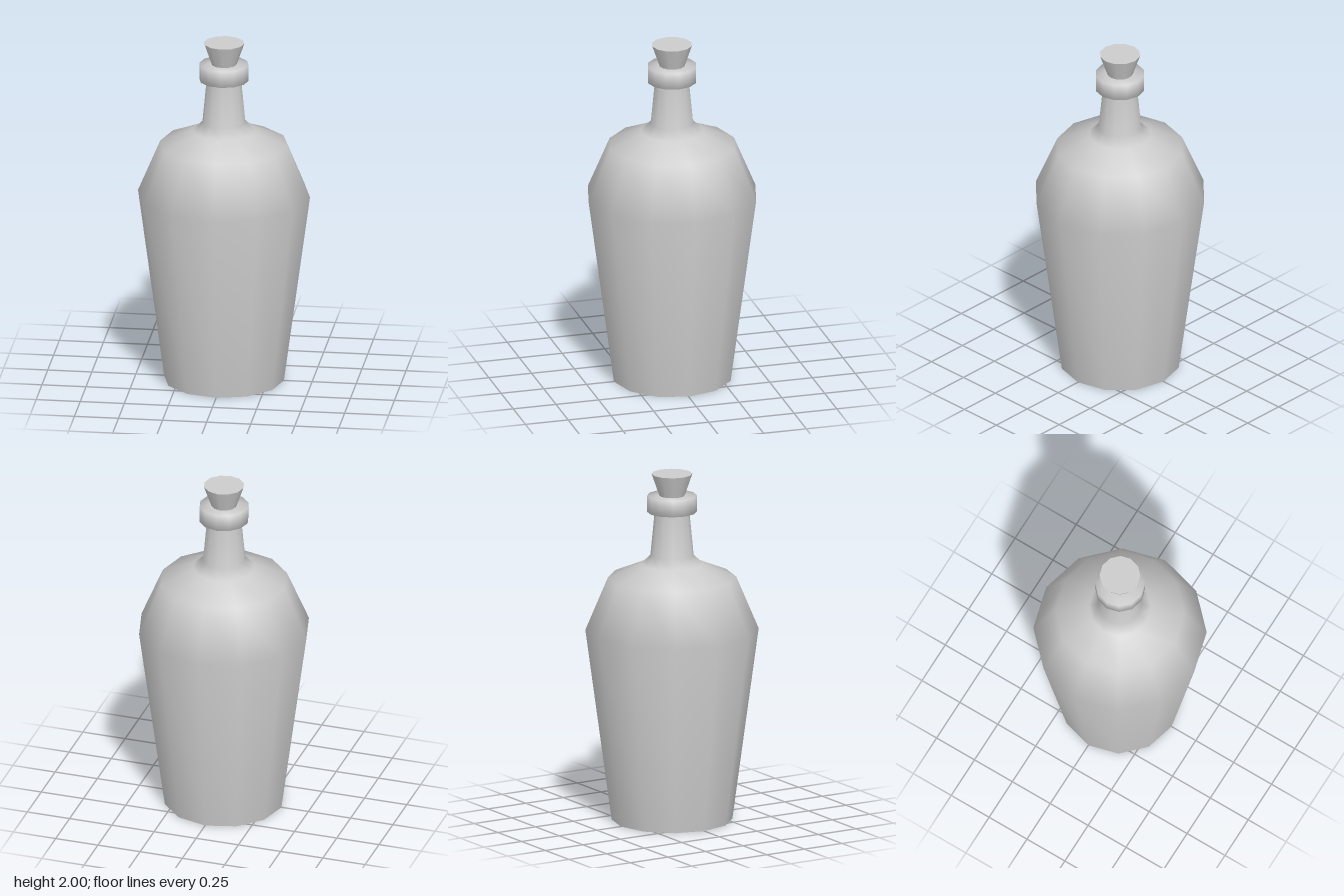
import * as THREE from 'three';

const SIDES = 12;

export function createModel() {
  const group = new THREE.Group();
  const material = new THREE.MeshStandardMaterial({ color: 0xcccccc });

  const add = (name, geometry) => {
    const mesh = new THREE.Mesh(geometry, material);
    mesh.name = name;
    group.add(mesh);
    return mesh;
  };
  // Smooth turned part from [radius, height] pairs, listed bottom to top
  const turn = (name, profile) =>
    add(name, new THREE.LatheGeometry(profile.map(([r, y]) => new THREE.Vector2(r, y)), SIDES));

  // Tapered body, sloping shoulder and neck
  turn('bottleBody', [
    [0.34, 0], [0.488, 1.1], [0.362, 1.4], [0.175, 1.48], [0.122, 1.53], [0.097, 1.79],
  ]);

  // Flat underside, with its corners matched to the body
  const base = add('bottleBase', new THREE.CircleGeometry(0.34, SIDES));
  base.rotation.x = Math.PI / 2;

  // Collar around the mouth
  turn('collar', [
    [0.09, 1.78], [0.14, 1.78], [0.14, 1.875], [0.065, 1.875],
  ]);

  // Flared stopper, its lower end hidden in the neck
  const stopper = add('stopper', new THREE.CylinderGeometry(0.115, 0.06, 0.16, SIDES));
  stopper.position.y = 1.92;

  return group;
}
